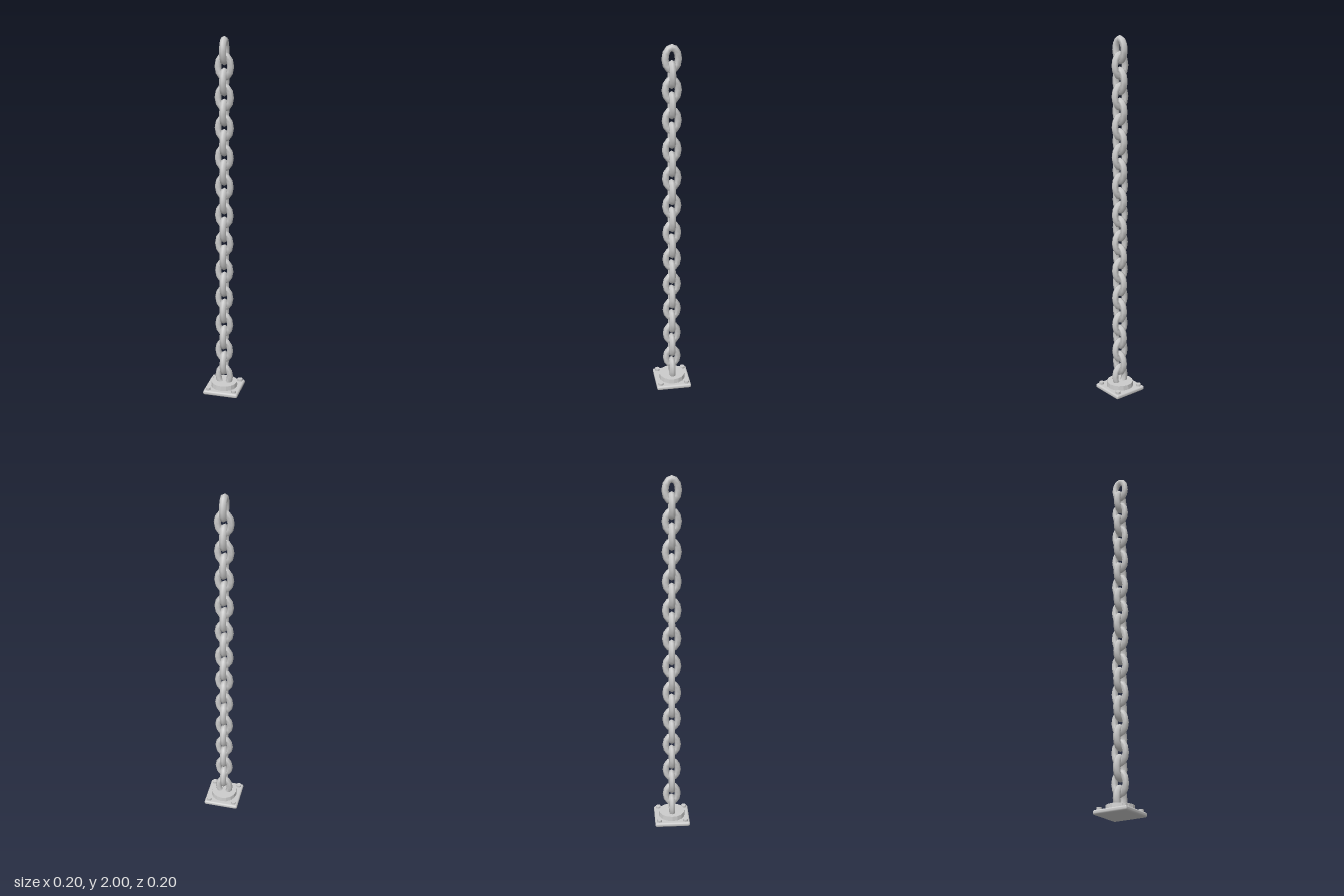
import * as THREE from 'three';
import { mergeVertices } from 'three/addons/utils/BufferGeometryUtils.js';
import { RoundedBoxGeometry } from 'three/addons/geometries/RoundedBoxGeometry.js';

const LINKS = 24, PITCH = 0.08;
const RING = 0.034, WIRE = 0.0185, STRETCH = 0.0225;

// Oval link: a six-sided torus drawn out along y, with the wire kept round
function linkGeometry() {
  const torus = new THREE.TorusGeometry(RING, WIRE, 6, 12);
  const pos = torus.attributes.position;
  for (let i = 0; i < pos.count; i++) {
    const x = pos.getX(i), y = pos.getY(i);
    pos.setY(i, y + STRETCH * y / Math.hypot(x, y));
  }
  torus.deleteAttribute('uv');
  torus.deleteAttribute('normal');
  const link = mergeVertices(torus, 1e-5);
  link.computeVertexNormals();
  return link;
}

export function createModel() {
  const model = new THREE.Group();
  model.name = 'chainOnBase';
  const metal = new THREE.MeshStandardMaterial({ color: 0xcccccc });
  const flatMetal = new THREE.MeshStandardMaterial({ color: 0xcccccc, flatShading: true });

  const add = (parent, name, geometry, material, x, y, z) => {
    const mesh = new THREE.Mesh(geometry, material);
    mesh.name = name;
    mesh.position.set(x, y, z);
    parent.add(mesh);
    return mesh;
  };

  // Mounting plate with softened edges
  add(model, 'basePlate', new RoundedBoxGeometry(0.2, 0.025, 0.2, 2, 0.01), metal, 0, 0.0125, 0);

  // Round boss that holds the lowest link
  const boss = new THREE.CylinderGeometry(0.074, 0.076, 0.028, 16);
  boss.rotateY(Math.PI / 2);
  add(model, 'baseDisc', boss, flatMetal, 0, 0.038, 0);

  // Bolt heads in the four corners
  const bolt = new THREE.CylinderGeometry(0.014, 0.014, 0.014, 12);
  for (const x of [-0.075, 0.075])
    for (const z of [-0.075, 0.075]) add(model, 'bolt', bolt, metal, x, 0.031, z);

  // Chain: every other link turned a quarter, the top one lying in the z-y plane
  const chain = new THREE.Group();
  chain.name = 'chain';
  model.add(chain);
  const link = linkGeometry();
  const topCentre = 2 - (RING + WIRE + STRETCH);
  for (let i = 0; i < LINKS; i++) {
    const mesh = add(chain, 'chainLink', link, metal, 0, topCentre - i * PITCH, 0);
    mesh.rotation.y = i % 2 === 0 ? Math.PI / 2 : 0;
  }
  return model;
}
